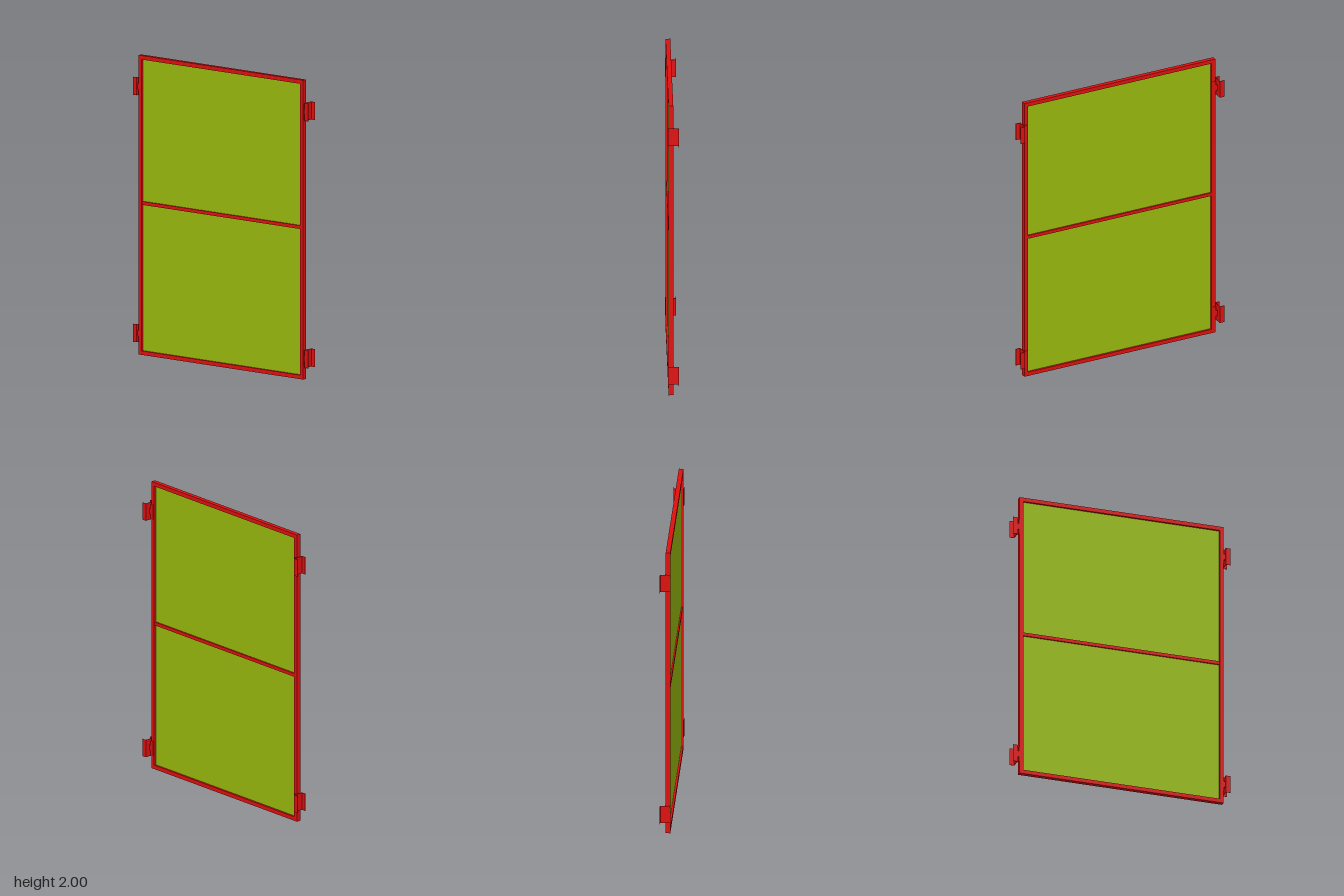
import * as THREE from 'three';

const red = new THREE.MeshStandardMaterial({ color: 0xe01010 });
const green = new THREE.MeshStandardMaterial({ color: 0x9abc0e });

// Box given by its minimum and maximum corners
function box(parent, name, [x0, y0, z0], [x1, y1, z1], material = red) {
  const mesh = new THREE.Mesh(new THREE.BoxGeometry(x1 - x0, y1 - y0, z1 - z0), material);
  mesh.position.set((x0 + x1) / 2, (y0 + y1) / 2, (z0 + z1) / 2);
  mesh.name = name;
  parent.add(mesh);
}

// Outward-opening channel held on the frame by a short arm and an angle plate
function bracket(side, y) {
  const group = new THREE.Group();
  group.name = side > 0 ? 'leftBracket' : 'rightBracket';
  const h = 0.06, t = 0.003;
  const span = (a, b) => (side > 0 ? [a, b] : [-b, -a]);
  const part = (name, xa, xb, half, za, zb) => {
    const [x0, x1] = span(xa, xb);
    box(group, name, [x0, -half, za], [x1, half, zb]);
  };
  part('channelWeb', 0.724, 0.724 + t, h, -0.037, 0.034);
  part('channelFrontFlange', 0.724, 0.757, h, 0.034 - t, 0.034);
  part('channelBackFlange', 0.724, 0.757, h, -0.037, -0.037 + t);
  part('arm', 0.71, 0.725, 0.02, -0.004, 0.026);
  part('sidePlate', 0.71, 0.713, 0.05, -0.004, 0.026);
  part('backPlate', 0.688, 0.713, 0.05, -0.004, 0);
  group.position.y = y;
  return group;
}

export function createModel() {
  const model = new THREE.Group();
  model.name = 'framedPanel';
  const W = 0.71, H = 2, bar = 0.027, D = 0.031;

  // Outer frame, as one rectangle with an opening
  const outline = new THREE.Shape([
    new THREE.Vector2(-W, 0), new THREE.Vector2(W, 0),
    new THREE.Vector2(W, H), new THREE.Vector2(-W, H),
  ]);
  outline.holes.push(new THREE.Path([
    new THREE.Vector2(-W + bar, bar), new THREE.Vector2(-W + bar, H - bar),
    new THREE.Vector2(W - bar, H - bar), new THREE.Vector2(W - bar, bar),
  ]));
  const frame = new THREE.Mesh(
    new THREE.ExtrudeGeometry(outline, { depth: D, bevelEnabled: false }), red);
  frame.name = 'frame';
  model.add(frame);

  // Middle rail and recessed sheet
  box(model, 'middleRail', [-W + bar, 1.002, 0.004], [W - bar, 1.025, D - 0.004]);
  box(model, 'sheet', [-W + bar, bar, 0.014], [W - bar, H - bar, 0.017], green);

  // Four mounting brackets
  for (const side of [-1, 1])
    for (const y of [0.14, 1.79]) model.add(bracket(side, y));

  return model;
}
